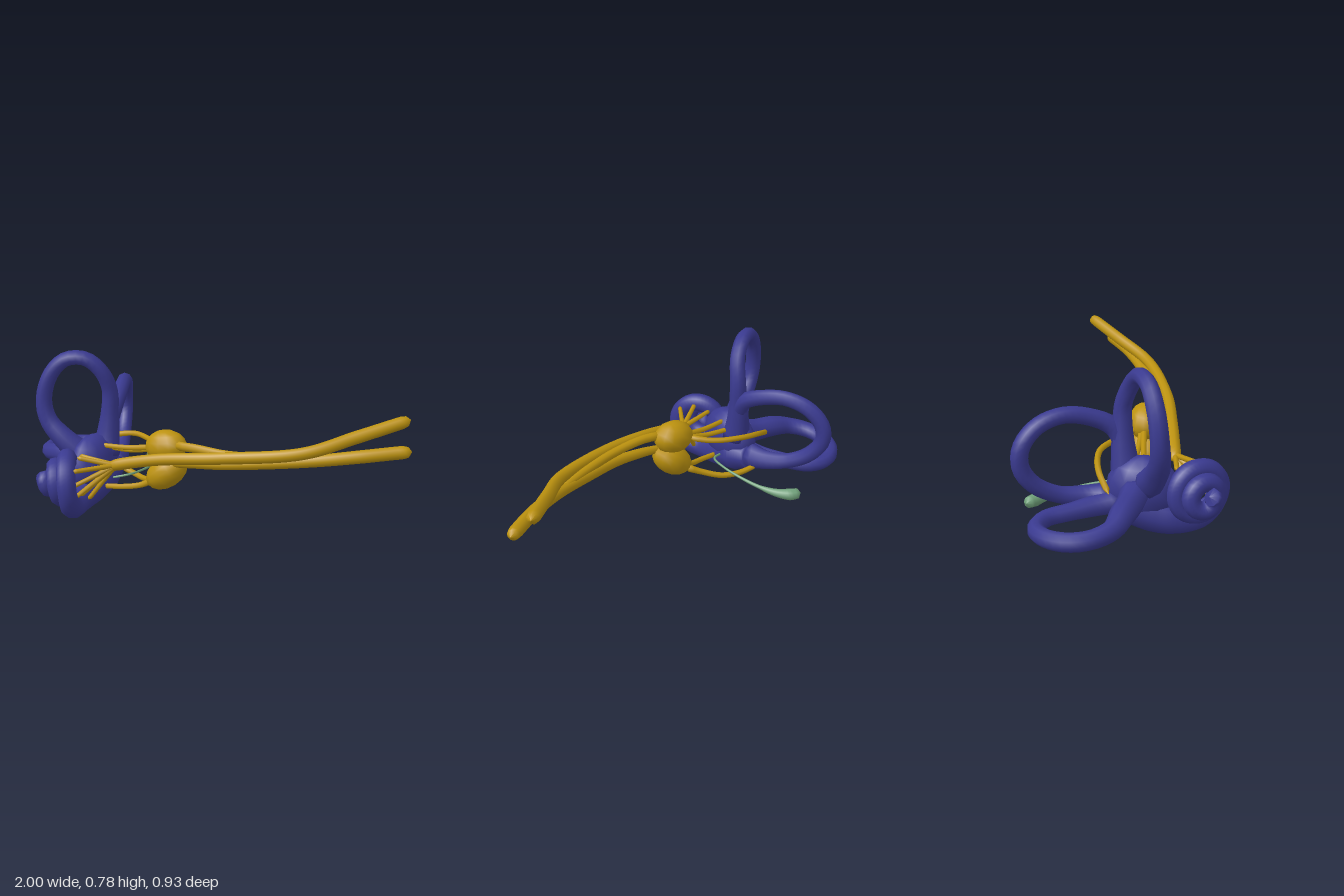
import * as THREE from 'three';
import { mergeVertices } from 'three/addons/utils/BufferGeometryUtils.js';

const material = (name, color) => {
  const m = new THREE.MeshStandardMaterial({ color });
  m.name = name;
  return m;
};

// Tapered tube through [x, y, z, radius] points, closed by short pointed ends
function taperedTube(points, segments, sides) {
  const curve = new THREE.CatmullRomCurve3(points.map(p => new THREE.Vector3(p[0], p[1], p[2])));
  const geometry = new THREE.TubeGeometry(curve, segments, 1, sides);
  const pos = geometry.attributes.position;
  const v = new THREE.Vector3();
  for (let i = 0; i <= segments; i++) {
    const centre = curve.getPointAt(i / segments);
    const t = curve.getUtoTmapping(i / segments) * (points.length - 1);
    const k = Math.min(Math.floor(t), points.length - 2);
    const capped = i === 0 || i === segments;
    const r = capped ? 0.0005 : THREE.MathUtils.lerp(points[k][3], points[k + 1][3], t - k);
    for (let j = 0; j <= sides; j++) {
      const n = i * (sides + 1) + j;
      v.fromBufferAttribute(pos, n).sub(centre).multiplyScalar(r).add(centre);
      pos.setXYZ(n, v.x, v.y, v.z);
    }
  }
  geometry.deleteAttribute('uv');
  geometry.deleteAttribute('normal');
  const merged = mergeVertices(geometry, 1e-5);
  merged.computeVertexNormals();
  return merged;
}

export function createModel() {
  const model = new THREE.Group();
  model.name = 'innerEar';
  const blue = material('labyrinth blue', 0x3a3a90);
  const gold = material('nerve gold', 0xbc920f);
  const green = material('sac green', 0x70a07a);

  const tube = (name, mat, points, segments = 24, sides = 9) => {
    const mesh = new THREE.Mesh(taperedTube(points, segments, sides), mat);
    mesh.name = name;
    model.add(mesh);
  };
  const ellipsoid = (name, mat, centre, radii, tilt = 0) => {
    const mesh = new THREE.Mesh(new THREE.SphereGeometry(1, 12, 8), mat);
    mesh.name = name;
    mesh.position.set(...centre);
    mesh.scale.set(...radii);
    mesh.rotation.z = tilt;
    model.add(mesh);
  };

  // Vestibule chamber
  ellipsoid('vestibule', blue, [-0.535, 0.215, 0.085], [0.1, 0.15, 0.165]);

  // Cochlea: leaves the vestibule and coils two and a half turns to its apex
  const coil = [[-0.53, 0.16, -0.1, 0.06], [-0.53, 0.14, 0.02, 0.095], [-0.535, 0.1, 0.13, 0.09], [-0.535, 0.083, 0.2, 0.083]];
  const steps = 32;
  for (let i = 0; i <= steps; i++) {
    const t = i / steps;
    const a = -1.8 + t * Math.PI * 5;
    const R = 0.132 * (1 - t) + 0.028 * t;
    const h = 0.145 * t;
    const across = R * Math.cos(a);
    const r = 0.04 + 0.008 * (1 - t) + 0.022 * Math.max(0, 1 - t * 12);
    coil.push([-0.505 + 0.46 * across - 0.89 * h, 0.2 + R * Math.sin(a), 0.302 + 0.89 * across + 0.46 * h, r]);
  }
  tube('cochlea', blue, coil, 110, 10);

  // Three semicircular canals
  tube('anteriorCanal', blue, [
    [-0.57, 0.24, 0.1, 0.07], [-0.67, 0.34, 0.15, 0.055], [-0.745, 0.43, 0.17, 0.045], [-0.77, 0.53, 0.17, 0.041],
    [-0.74, 0.66, 0.15, 0.039], [-0.67, 0.74, 0.115, 0.037], [-0.58, 0.745, 0.07, 0.037], [-0.515, 0.68, 0.03, 0.038],
    [-0.49, 0.58, -0.005, 0.04], [-0.495, 0.46, -0.008, 0.046], [-0.505, 0.34, 0, 0.06], [-0.515, 0.22, 0.02, 0.08]], 40);
  tube('posteriorCanal', blue, [
    [-0.5, 0.38, 0, 0.04], [-0.495, 0.48, -0.05, 0.042], [-0.525, 0.535, -0.15, 0.039], [-0.575, 0.555, -0.26, 0.037],
    [-0.63, 0.52, -0.36, 0.038], [-0.67, 0.44, -0.42, 0.039], [-0.675, 0.35, -0.425, 0.039], [-0.65, 0.26, -0.37, 0.039],
    [-0.6, 0.195, -0.27, 0.038], [-0.55, 0.17, -0.16, 0.05], [-0.53, 0.16, -0.05, 0.07]], 40);
  tube('lateralCanal', blue, [
    [-0.56, 0.23, 0.06, 0.07], [-0.67, 0.21, 0.045, 0.06], [-0.78, 0.205, 0.02, 0.056], [-0.88, 0.185, -0.012, 0.044],
    [-0.945, 0.17, -0.09, 0.041], [-0.957, 0.16, -0.19, 0.041], [-0.905, 0.152, -0.295, 0.039], [-0.82, 0.145, -0.338, 0.038],
    [-0.73, 0.143, -0.315, 0.038], [-0.66, 0.145, -0.215, 0.04], [-0.59, 0.15, -0.1, 0.05], [-0.55, 0.16, 0, 0.06]], 40);

  // Nerve trunks
  tube('cochlearNerve', gold, [
    [-0.36, 0.265, 0.22, 0.02], [-0.31, 0.285, 0.21, 0.03], [-0.1, 0.34, 0.185, 0.029], [0.2, 0.385, 0.14, 0.029],
    [0.57, 0.435, 0.015, 0.029], [0.76, 0.495, -0.155, 0.031], [0.92, 0.548, -0.305, 0.03], [0.952, 0.558, -0.335, 0.02]], 70);
  tube('vestibularNerve', gold, [
    [-0.07, 0.3, 0.1, 0.02], [0.05, 0.32, 0.1, 0.024], [0.2, 0.34, 0.09, 0.027], [0.4, 0.365, 0.04, 0.028],
    [0.62, 0.395, -0.03, 0.029], [0.8, 0.42, -0.115, 0.031], [0.962, 0.438, -0.215, 0.031], [0.997, 0.44, -0.235, 0.02]], 70);
  tube('upperVestibularRoot', gold, [
    [-0.08, 0.385, 0.08, 0.022], [0.05, 0.395, 0.095, 0.022], [0.22, 0.39, 0.09, 0.022],
    [0.42, 0.395, 0.04, 0.022], [0.6, 0.4, -0.02, 0.02]], 18);

  // Ganglia
  ellipsoid('upperGanglion', gold, [-0.125, 0.365, 0.06], [0.11, 0.082, 0.078], 0.15);
  ellipsoid('lowerGanglion', gold, [-0.12, 0.235, 0.065], [0.122, 0.076, 0.087], 0.65);

  // Fibres fanning from the cochlear nerve into the coil
  const fanEnds = [
    [-0.45, 0.28, 0.39], [-0.455, 0.2, 0.38], [-0.45, 0.14, 0.38], [-0.46, 0.13, 0.32],
    [-0.45, 0.095, 0.265], [-0.48, 0.32, 0.305], [-0.52, 0.3, 0.23]];
  for (const [x, y, z] of fanEnds) {
    tube('cochlearFibre', gold, [[-0.32, 0.28, 0.213, 0.014], [(x - 0.32) / 2, (y + 0.28) / 2, (z + 0.213) / 2, 0.012], [x, y, z, 0.011]], 16, 7);
  }

  // Branches from the ganglia to the vestibule and canals
  const branches = [
    [[-0.19, 0.35, 0.03, 0.016], [-0.29, 0.335, -0.06, 0.014], [-0.42, 0.33, -0.12, 0.014], [-0.55, 0.3, -0.11, 0.014], [-0.67, 0.24, -0.05, 0.014]],
    [[-0.19, 0.35, 0.06, 0.016], [-0.33, 0.325, 0.07, 0.013], [-0.5, 0.315, 0.085, 0.012]],
    [[-0.19, 0.34, 0.05, 0.016], [-0.33, 0.305, 0.045, 0.013], [-0.5, 0.29, 0.03, 0.012]],
    [[-0.18, 0.18, 0.03, 0.02], [-0.25, 0.145, -0.01, 0.016], [-0.34, 0.115, -0.07, 0.015], [-0.43, 0.115, -0.11, 0.015], [-0.53, 0.13, -0.13, 0.014]],
    [[-0.18, 0.19, 0.07, 0.018], [-0.26, 0.145, 0.08, 0.015], [-0.35, 0.125, 0.1, 0.014], [-0.47, 0.11, 0.11, 0.013]],
  ];
  branches.forEach(points => tube('vestibularBranch', gold, points, 18, 7));

  // Thin duct widening into the rounded sac behind the vestibule
  tube('ductAndSac', green, [
    [-0.45, 0.14, 0.06, 0.006], [-0.37, 0.16, 0.02, 0.006], [-0.355, 0.155, -0.07, 0.006], [-0.37, 0.14, -0.18, 0.007],
    [-0.405, 0.12, -0.28, 0.01], [-0.445, 0.11, -0.36, 0.021], [-0.49, 0.108, -0.41, 0.031], [-0.535, 0.112, -0.436, 0.024]], 44, 8);

  return model;
}
